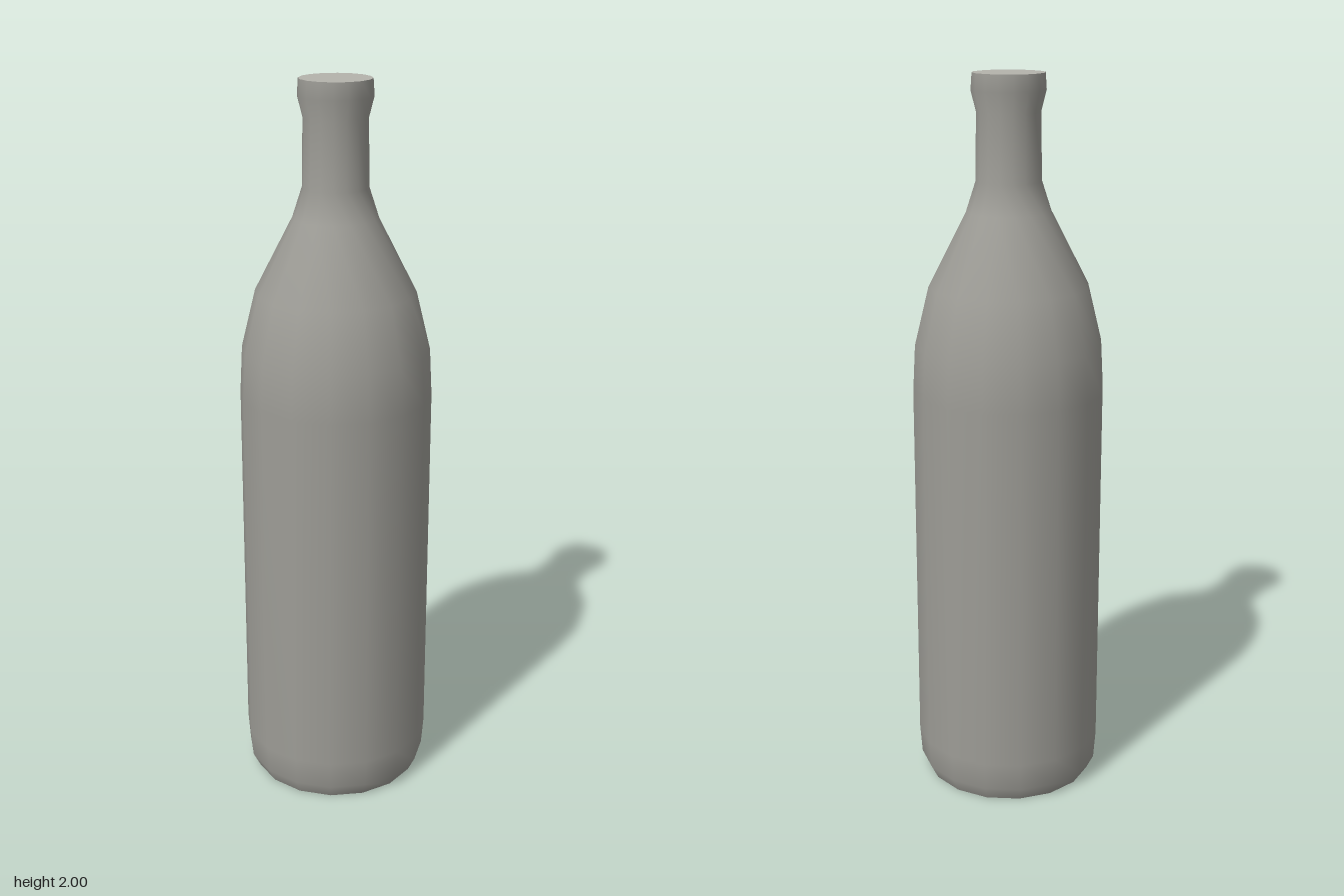
import * as THREE from 'three';

const SIDES = 16;

export function createModel() {
  const model = new THREE.Group();
  model.name = 'bottle';
  const glass = new THREE.MeshStandardMaterial({ color: 0x9d9c96 });
  const cap = new THREE.MeshStandardMaterial({ color: 0xb4b3ac });

  // Bottle wall: [radius, height] from base to lip
  const profile = [
    [0.238, 0], [0.258, 0.04], [0.264, 0.12], [0.264, 1.15], [0.257, 1.28],
    [0.218, 1.44], [0.115, 1.64], [0.089, 1.72], [0.086, 1.9], [0.1, 1.955], [0.097, 2],
  ].map(([r, y]) => new THREE.Vector2(r, y));
  const wall = new THREE.Mesh(new THREE.LatheGeometry(profile, SIDES), glass);
  wall.name = 'bottleWall';
  model.add(wall);

  // Flat discs closing the mouth and the base
  const addDisc = (name, radius, y, tilt, material) => {
    const disc = new THREE.Mesh(new THREE.CircleGeometry(radius, SIDES), material);
    disc.name = name;
    disc.rotation.x = tilt;
    disc.position.y = y;
    model.add(disc);
  };
  addDisc('mouthCap', 0.097, 2, -Math.PI / 2, cap);
  addDisc('base', 0.238, 0, Math.PI / 2, glass);

  return model;
}
